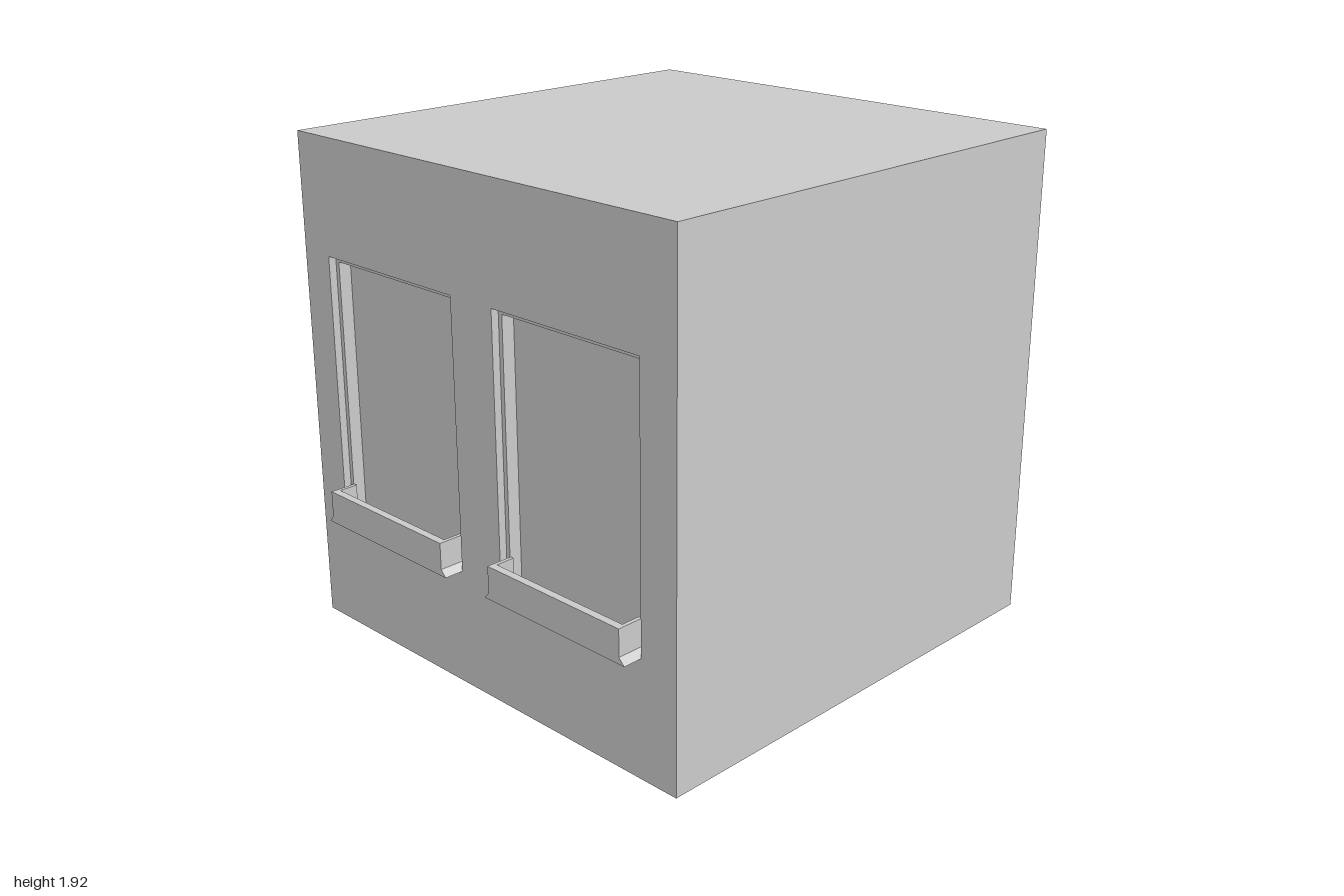
import * as THREE from 'three';

const FRONT = 0.925, BACK = -1, HALF = 0.96, TOP = 1.925;
const STEP = 0.895, PANE = 0.845, LEDGE = 1;
const SILL = 0.45, FLOOR = 0.475, RIM = 0.577;
const windows = [[-0.815, -0.11], [0.105, 0.8]];

const mat = new THREE.MeshStandardMaterial({ color: 0xcccccc, flatShading: true });

function add(parent, name, geometry) {
  const mesh = new THREE.Mesh(geometry, mat);
  mesh.name = name;
  parent.add(mesh);
}

const polygon = (pts) => new THREE.Shape(pts.map(([x, y]) => new THREE.Vector2(x, y)));
const rect = (x0, y0, x1, y1) => [[x0, y0], [x1, y0], [x1, y1], [x0, y1]];

// Stepped recess: rectangular loops joined from the wall face inwards, closed by the pane
function recess(x0, x1) {
  const outer = rect(x0, SILL, x1, 1.48);
  const inner = rect(x0 + 0.018, FLOOR, x1 - 0.02, 1.457);
  const loops = [[outer, FRONT], [outer, STEP], [inner, STEP], [inner, PANE]];
  const pos = loops.flatMap(([pts, z]) => pts.flatMap(([x, y]) => [x, y, z]));
  const index = [];
  for (let l = 0; l < loops.length - 1; l++) {
    for (let i = 0; i < 4; i++) {
      const j = (i + 1) % 4, a = l * 4 + i, b = l * 4 + j;
      index.push(a, b, b + 4, a, b + 4, a + 4);
    }
  }
  index.push(12, 13, 14, 12, 14, 15);
  const g = new THREE.BufferGeometry();
  g.setAttribute('position', new THREE.Float32BufferAttribute(pos, 3));
  g.setIndex(index);
  const flat = g.toNonIndexed();
  flat.computeVertexNormals();
  return flat;
}

// Extrudes an outline from z0 to z1
function slab(pts, z0, z1) {
  const g = new THREE.ExtrudeGeometry(polygon(pts), { depth: z1 - z0, bevelEnabled: false });
  return g.translate(0, 0, z0);
}

export function createModel() {
  const model = new THREE.Group();
  model.name = 'building';

  // Walls, roof and base: a box left open at the front
  const shell = new THREE.BoxGeometry(HALF * 2, TOP, FRONT - BACK);
  const idx = Array.from(shell.index.array);
  idx.splice(24, 6);
  shell.setIndex(idx);
  shell.clearGroups();
  shell.translate(0, TOP / 2, (FRONT + BACK) / 2);
  add(model, 'walls', shell);

  // Front wall with two window openings
  const face = polygon(rect(-HALF, 0, HALF, TOP));
  for (const [x0, x1] of windows) face.holes.push(polygon(rect(x0, SILL, x1, 1.48)));
  add(model, 'frontWall', new THREE.ShapeGeometry(face).translate(0, 0, FRONT));

  for (const [x0, x1] of windows) {
    const unit = new THREE.Group();
    unit.name = 'window';
    add(unit, 'windowRecess', recess(x0, x1));

    // Ledge tray: flared foot, raised front rim and end walls
    const a = x0 + 0.022, b = x1 - 0.024;
    const left = [[a, RIM], [a, FLOOR], [x0, SILL]];
    const right = [[x1, SILL], [b, FLOOR], [b, RIM]];
    const inside = [[b - 0.015, RIM], [b - 0.015, FLOOR], [a + 0.015, FLOOR], [a + 0.015, RIM]];
    add(unit, 'ledgeFront', slab([...left, ...right], 0.97, LEDGE));
    add(unit, 'ledgeTray', slab([...left, ...right, ...inside], STEP, 0.97));
    model.add(unit);
  }
  return model;
}
